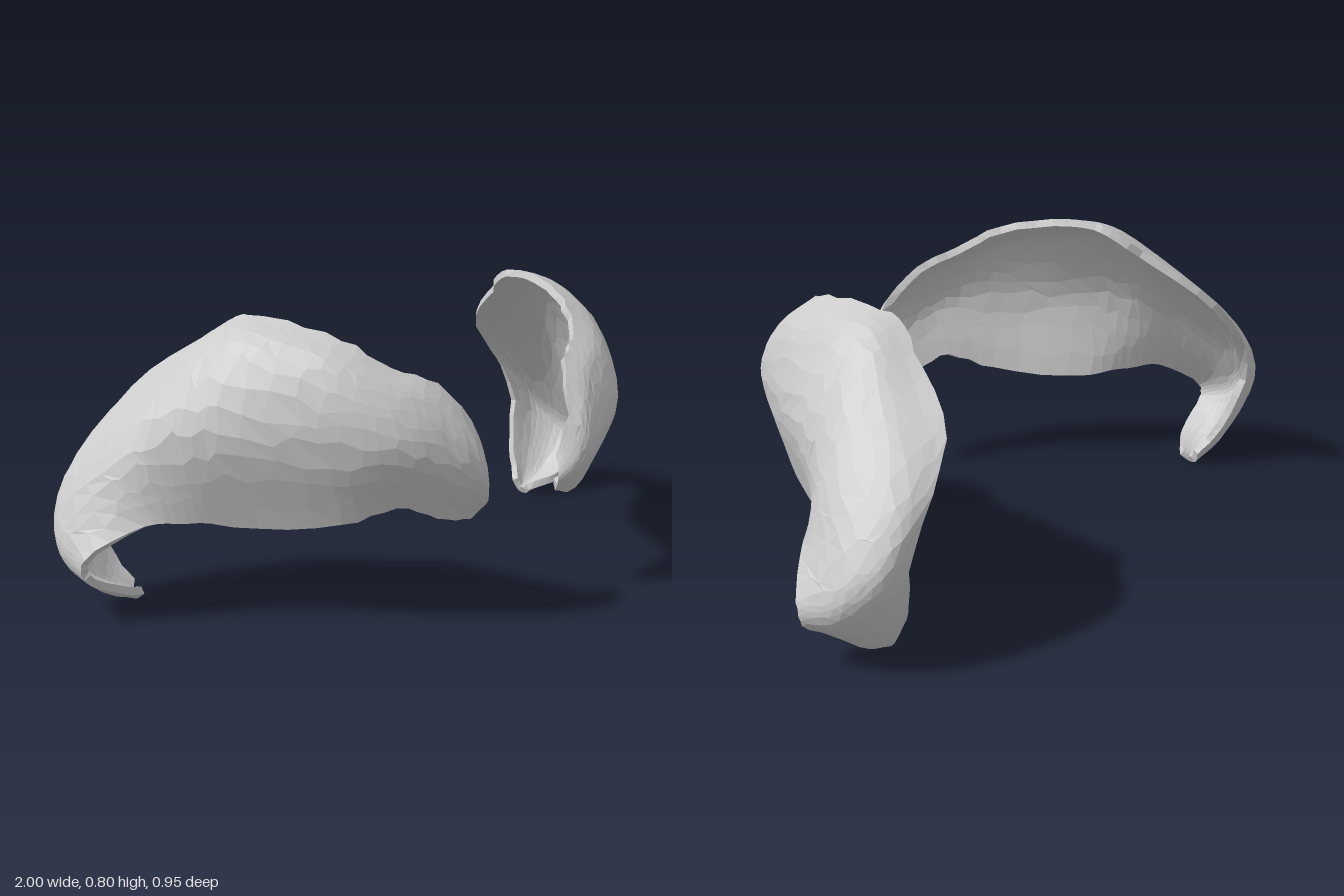
import * as THREE from 'three';

// Stations from the front tip, around the side, to the hooked rear tip.
// Each: lower edge, belly, shoulder, upper (later rear) edge.
const STATIONS = [
  [[0.15, 0.285, 0.40], [0.135, 0.32, 0.425], [0.14, 0.36, 0.42], [0.15, 0.39, 0.40]],
  [[0.19, 0.275, 0.41], [0.19, 0.38, 0.47], [0.19, 0.46, 0.465], [0.17, 0.51, 0.42]],
  [[0.28, 0.285, 0.38], [0.30, 0.45, 0.445], [0.29, 0.60, 0.39], [0.24, 0.645, 0.34]],
  [[0.38, 0.32, 0.33], [0.42, 0.50, 0.385], [0.41, 0.645, 0.32], [0.34, 0.695, 0.27]],
  [[0.48, 0.27, 0.23], [0.55, 0.51, 0.24], [0.51, 0.70, 0.20], [0.41, 0.765, 0.16]],
  [[0.66, 0.25, -0.01], [0.715, 0.53, 0.0], [0.595, 0.755, -0.03], [0.49, 0.80, -0.04]],
  [[0.76, 0.265, -0.08], [0.785, 0.50, -0.12], [0.61, 0.755, -0.13], [0.50, 0.795, -0.15]],
  [[0.86, 0.26, -0.13], [0.865, 0.44, -0.22], [0.69, 0.66, -0.25], [0.54, 0.73, -0.26]],
  [[0.995, 0.18, -0.22], [0.975, 0.27, -0.37], [0.86, 0.42, -0.435], [0.66, 0.575, -0.45]],
  [[0.99, 0.12, -0.235], [0.985, 0.17, -0.36], [0.93, 0.26, -0.45], [0.83, 0.34, -0.475]],
  [[0.85, 0.05, -0.24], [0.87, 0.04, -0.34], [0.84, 0.07, -0.39], [0.79, 0.13, -0.42]],
  [[0.76, 0.02, -0.29], [0.77, 0.0, -0.32], [0.765, 0.005, -0.345], [0.75, 0.04, -0.36]],
];
const ROWS = 44, COLS = 12;

const rails = [0, 1, 2, 3].map(k => new THREE.CatmullRomCurve3(
  STATIONS.map(s => new THREE.Vector3(...s[k])), false, 'centripetal'));

// Outer face: a smooth cross-section through the four rails
function facePoint(u, v) {
  const section = rails.map(r => r.getPoint(THREE.MathUtils.clamp(u, 0, 1)));
  return new THREE.CatmullRomCurve3(section, false, 'centripetal')
    .getPoint(THREE.MathUtils.clamp(v, 0, 1));
}

function faceNormal(u, v) {
  const e = 0.02;
  const du = facePoint(u + e, v).sub(facePoint(u - e, v));
  const dv = facePoint(u, v + e).sub(facePoint(u, v - e));
  return du.cross(dv).normalize();
}

function seeded(seed) {
  return () => (seed = (seed * 16807) % 2147483647) / 2147483647;
}

// Closed shell: outer face, inner face and the rim all round
function shellGeometry(side) {
  const random = seeded(17);
  const positions = [], index = [];
  const ring = 2 * (COLS + 1);
  for (let i = 0; i <= ROWS; i++) {
    const outer = [], inner = [];
    // slightly ragged upper and lower edges
    const low = 0.02 * random(), high = 1 - 0.05 * random();
    for (let j = 0; j <= COLS; j++) {
      const free = i > 0 && i < ROWS && j > 0 && j < COLS;
      const u = (i + (free ? 0.6 * (random() - 0.5) : 0)) / ROWS;
      const t = (j + (free ? 0.6 * (random() - 0.5) : 0)) / COLS;
      const v = low + t * (high - low);
      const p = facePoint(u, v);
      const thickness = 0.022 + 0.022 * Math.sin(Math.PI * t) * Math.sin(Math.PI * u);
      outer.push(p);
      inner.push(p.clone().addScaledVector(faceNormal(u, v), -thickness));
    }
    for (const p of [...outer, ...inner.reverse()]) {
      positions.push(side * p.x, Math.max(p.y, 0), p.z);
    }
  }
  const tri = (a, b, c) => (side > 0 ? index.push(a, b, c) : index.push(a, c, b));
  const quad = (a, b, c, d) => { tri(a, b, c); tri(a, c, d); };
  for (let i = 0; i < ROWS; i++) {
    for (let j = 0; j < ring; j++) {
      const k = (j + 1) % ring, r = i * ring;
      quad(r + j, r + ring + j, r + ring + k, r + k);
    }
  }
  // rims at the two tips
  const end = ROWS * ring;
  for (let j = 0; j < COLS; j++) {
    const m = ring - 1 - j;
    quad(j, j + 1, m - 1, m);
    quad(end + j, end + m, end + m - 1, end + j + 1);
  }
  const geometry = new THREE.BufferGeometry();
  geometry.setAttribute('position', new THREE.Float32BufferAttribute(positions, 3));
  geometry.setIndex(index);
  geometry.computeVertexNormals();
  return geometry;
}

export function createModel() {
  const group = new THREE.Group();
  group.name = 'pairedCurvedShells';
  const material = new THREE.MeshStandardMaterial({ color: 0xcccccc, flatShading: true });
  for (const [name, side] of [['leftShell', 1], ['rightShell', -1]]) {
    const shell = new THREE.Mesh(shellGeometry(side), material);
    shell.name = name;
    group.add(shell);
  }
  return group;
}
